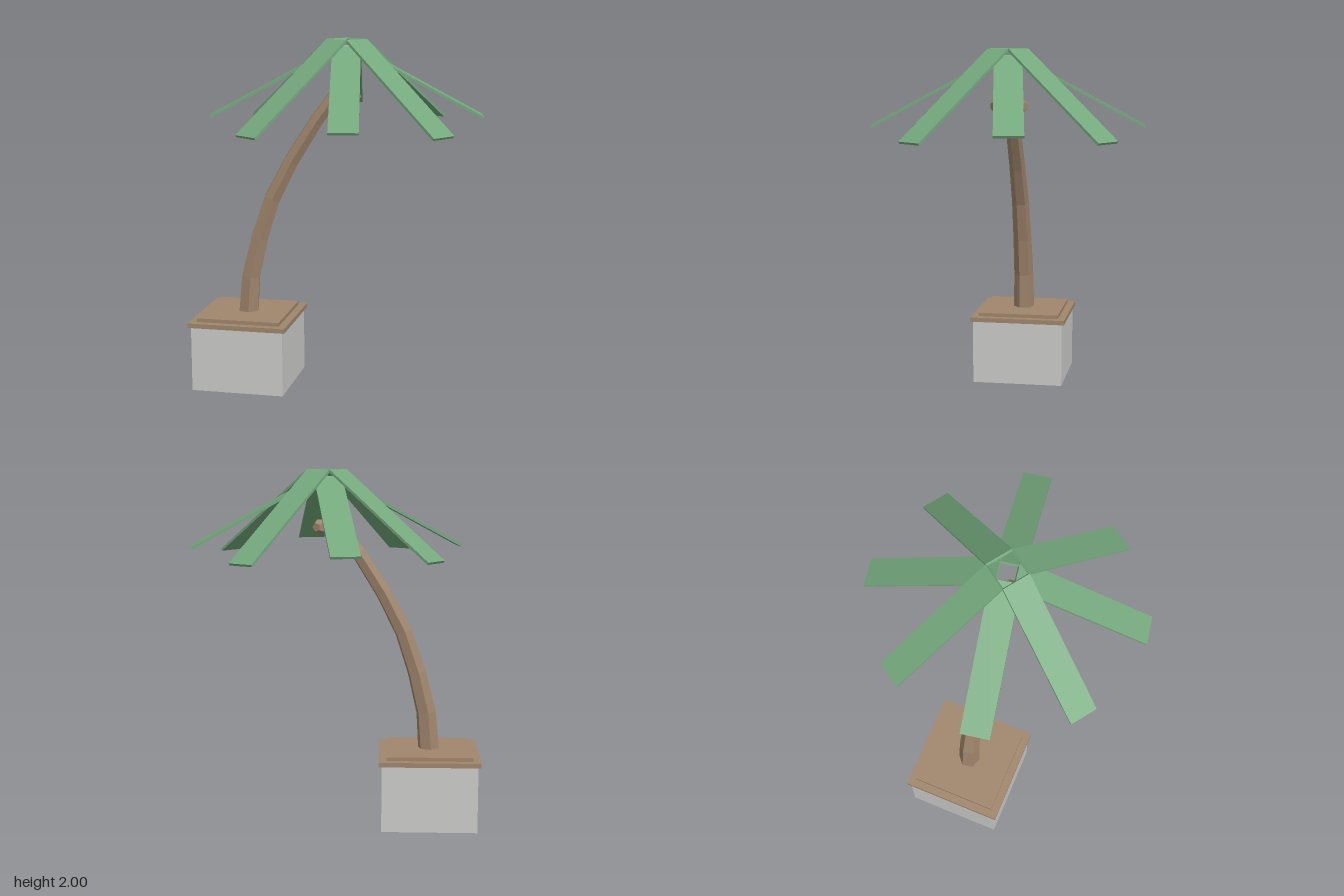
import * as THREE from 'three';

const mat = (name, color) => {
  const m = new THREE.MeshStandardMaterial({ color, flatShading: true });
  m.name = name;
  return m;
};

export function createModel() {
  const stone = mat('pale stone', 0xcbcbc8);
  const wood = mat('brown wood', 0xa0866d);
  const leaf = mat('leaf green', 0x74a87c);

  const palm = new THREE.Group();
  palm.name = 'pottedPalm';
  const add = (name, geometry, material, x, y, z, parent = palm) => {
    const mesh = new THREE.Mesh(geometry, material);
    mesh.name = name;
    mesh.position.set(x, y, z);
    parent.add(mesh);
    return mesh;
  };

  // Square planter with rim and raised soil
  const px = -0.532;
  add('planterBox', new THREE.BoxGeometry(0.535, 0.375, 0.535), stone, px, 0.1875, 0);
  add('planterRim', new THREE.BoxGeometry(0.566, 0.026, 0.566), wood, px, 0.388, 0);
  add('soil', new THREE.BoxGeometry(0.48, 0.022, 0.48), wood, px, 0.411, 0);

  // Trunk: a six-sided tapered cylinder bent along a curve
  const path = new THREE.CatmullRomCurve3([
    [-0.532, 0.41], [-0.515, 0.63], [-0.46, 0.86], [-0.383, 1.09],
    [-0.27, 1.31], [-0.125, 1.54], [0.035, 1.76],
  ].map(([x, y]) => new THREE.Vector3(x, y, 0)));
  const trunk = new THREE.CylinderGeometry(0.038, 0.062, 1, 6, 6);
  trunk.rotateY(0.2);
  const pos = trunk.attributes.position;
  for (let i = 0; i < pos.count; i++) {
    const t = THREE.MathUtils.clamp(pos.getY(i) + 0.5, 0, 1);
    const centre = path.getPoint(t);
    const dir = path.getTangent(t);
    const r = pos.getX(i);
    pos.setXYZ(i, centre.x + dir.y * r, centre.y - dir.x * r, pos.getZ(i));
  }
  trunk.computeVertexNormals();
  add('trunk', trunk, wood, 0, 0, 0);

  // Three coconuts under the crown
  const nut = new THREE.DodecahedronGeometry(0.043);
  [[0.01, 0.065], [0.09, 0.003], [0.01, -0.065]].forEach(([x, z], i) => {
    add('coconut' + (i + 1), nut, wood, x, 1.68, z);
  });

  // Eight flat fronds, alternating a steep upper ring and a shallow lower ring
  for (let i = 0; i < 8; i++) {
    const steep = i % 2 === 1;
    const pivot = new THREE.Group();
    pivot.name = 'frond' + (i + 1);
    pivot.position.set(0.05, steep ? 2 : 1.962, 0);
    pivot.rotation.y = THREE.MathUtils.degToRad(10 + 45 * i);
    palm.add(pivot);
    // The frond hangs from its inner top edge
    const blade = new THREE.BoxGeometry(0.805, 0.014, 0.157).translate(0.4025, -0.007, 0);
    const mesh = add('frondBlade', blade, leaf, steep ? 0.08 : 0.05, 0, 0, pivot);
    mesh.rotation.z = -THREE.MathUtils.degToRad(steep ? 36 : 28.3);
  }
  return palm;
}
